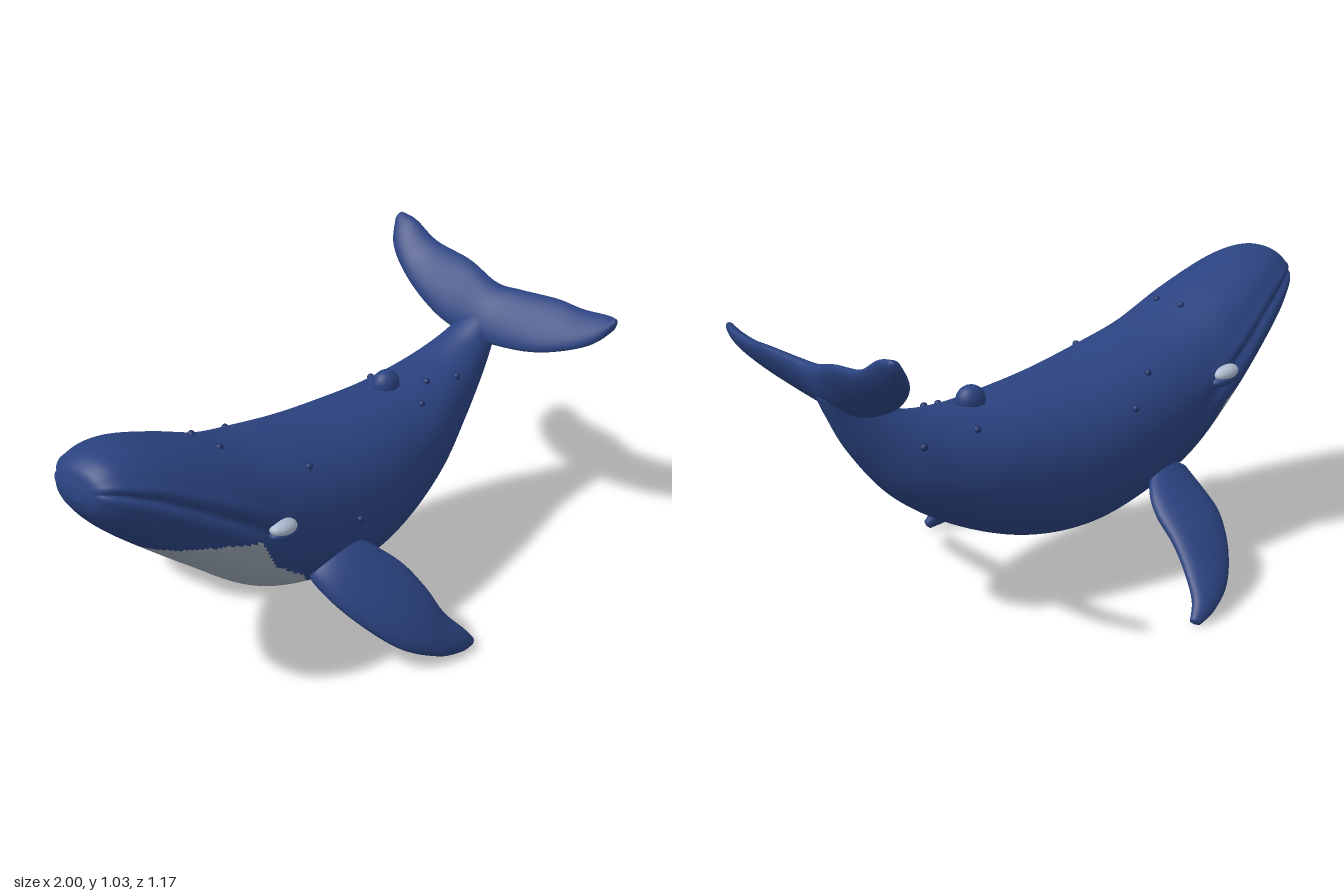
import * as THREE from 'three';
import { mergeVertices } from 'three/addons/utils/BufferGeometryUtils.js';

const material = (name, color) => Object.assign(new THREE.MeshStandardMaterial({ color }), { name });
const V = (x, y, z) => new THREE.Vector3(x, y, z);
const curve = (points) => new THREE.CatmullRomCurve3(points, false, 'catmullrom', 0.5);
const { smoothstep } = THREE.MathUtils;

// Closed skin through rings of points; isPale picks the second material per quad
function skin(rings, around, pointAt, isPale = () => false) {
  const pos = [], main = [], pale = [];
  for (let i = 0; i <= rings; i++)
    for (let j = 0; j < around; j++) pos.push(...pointAt(i / rings, (j / around) * Math.PI * 2).toArray());
  for (let i = 0; i < rings; i++)
    for (let j = 0; j < around; j++) {
      const k = (j + 1) % around;
      const a = i * around + j, b = i * around + k, c = a + around, d = b + around;
      const list = isPale((i + 0.5) / rings, ((j + 0.5) / around) * Math.PI * 2) ? pale : main;
      list.push(a, b, c, b, d, c);
    }
  let geo = new THREE.BufferGeometry();
  geo.setAttribute('position', new THREE.Float32BufferAttribute(pos, 3));
  geo.setIndex([...main, ...pale]);
  geo = mergeVertices(geo, 1e-5);
  geo.addGroup(0, main.length, 0);
  if (pale.length) geo.addGroup(main.length, pale.length, 1);
  geo.computeVertexNormals();
  return geo;
}

// Fin: rows of leading edge xyz, trailing edge xyz, thickness
function fin(rows, isPale) {
  const lead = curve(rows.map((r) => V(r[0], r[1], r[2])));
  const trail = curve(rows.map((r) => V(r[3], r[4], r[5])));
  const thick = curve(rows.map((r) => V(r[6], 0, 0)));
  const mid = (t) => lead.getPoint(t).lerp(trail.getPoint(t), 0.5);
  return skin(64, 40, (t, a) => {
    const chord = trail.getPoint(t).sub(lead.getPoint(t));
    const span = mid(Math.min(1, t + 0.02)).sub(mid(Math.max(0, t - 0.02)));
    const normal = span.cross(chord).normalize();
    const end = t === 0 || t === 1 ? 0 : 1;
    return mid(t).addScaledVector(chord, 0.5 * end * Math.cos(a))
      .addScaledVector(normal, 0.5 * end * thick.getPoint(t).x * Math.sin(a));
  }, isPale);
}

// Body sections: back x, back y, belly x, belly y, half width
const SECTIONS = [
  [-0.99, 0.89, -0.995, 0.85, 0.035],
  [-0.965, 0.94, -0.975, 0.8, 0.1],
  [-0.9, 0.968, -0.91, 0.72, 0.15],
  [-0.78, 0.953, -0.8, 0.62, 0.195],
  [-0.6, 0.885, -0.6, 0.455, 0.245],
  [-0.4, 0.8, -0.4, 0.3, 0.27],
  [-0.2, 0.75, -0.2, 0.22, 0.282],
  [0, 0.71, 0.02, 0.18, 0.282],
  [0.2, 0.69, 0.24, 0.205, 0.254],
  [0.4, 0.68, 0.47, 0.3, 0.21],
  [0.58, 0.7, 0.66, 0.43, 0.15],
  [0.7, 0.745, 0.79, 0.59, 0.098],
  [0.79, 0.8, 0.86, 0.72, 0.07],
  [0.86, 0.85, 0.895, 0.8, 0.055],
];
const axisZ = (x) => 0.027 - 0.2 * x + 0.05 * smoothstep(x, 0.6, 0.88);
const back = curve(SECTIONS.map((s) => V(s[0], s[1], axisZ(s[0]))));
const belly = curve(SECTIONS.map((s) => V(s[2], s[3], axisZ(s[2]))));
const halfWidth = curve(SECTIONS.map((s) => V(s[4], 0, 0)));
const SIDE = V(0.196, 0, 0.98);
const bump = (v, centre, size) => Math.exp(-(((v - centre) / size) ** 2));

function bodyPoint(t, a) {
  const top = back.getPoint(t), bottom = belly.getPoint(t);
  const centre = top.clone().lerp(bottom, 0.5);
  if (t === 0 || t === 1) return centre;
  const up = top.sub(bottom).multiplyScalar(0.5);
  const round = (v) => Math.sign(v) * Math.abs(v) ** 0.92;
  // Mouth groove with a lip above and below, fading out behind the head
  const fromTop = a > Math.PI ? 2 * Math.PI - a : a;
  const fade = smoothstep(t, 0.02, 0.1) * (1 - smoothstep(t, 0.3, 0.42));
  const mouth = 1.27 + 0.7 * t;
  const r = 1 + fade * (0.045 * bump(fromTop, mouth - 0.2, 0.13) - 0.08 * bump(fromTop, mouth, 0.07)
    + 0.045 * bump(fromTop, mouth + 0.2, 0.13));
  return centre.addScaledVector(up, r * round(Math.cos(a)))
    .addScaledVector(SIDE, r * halfWidth.getPoint(t).x * round(Math.sin(a)));
}

// Height of the pale throat's upper edge along the body, a little lower on the right side
const THROAT = [[-0.82, 0.6], [-0.79, 0.635], [-0.66, 0.62], [-0.52, 0.595], [-0.44, 0.46],
  [-0.31, 0.365], [-0.22, 0.265], [-0.1, 0.235], [0.13, 0.17]];
function onThroat(t, a) {
  const p = bodyPoint(t, a);
  const x = back.getPoint(t).lerp(belly.getPoint(t), 0.5).x;
  const drop = Math.sin(a) < -0.3 ? 0.05 * (1 - smoothstep(x, -0.45, -0.25)) : 0;
  for (let i = 1; i < THROAT.length; i++) {
    const [x0, y0] = THROAT[i - 1], [x1, y1] = THROAT[i];
    if (x >= x0 && x < x1)
      return Math.cos(a) < 0.05 && p.y < y0 - drop + ((y1 - y0) * (x - x0)) / (x1 - x0);
  }
  return false;
}

export function createModel() {
  const blue = material('whale blue', 0x2a427f);
  const pale = material('pale throat', 0x949fab);
  const white = material('eye white', 0xacbace);
  const dark = material('dark spot', 0x22356a);
  const group = new THREE.Group();
  const add = (name, geo, mat, parent = group) => {
    const mesh = new THREE.Mesh(geo, mat);
    mesh.name = name;
    parent.add(mesh);
    return mesh;
  };

  add('body', skin(220, 128, bodyPoint, onThroat), [blue, pale]);

  // Tail flukes, tip to tip
  add('tailFlukes', fin([
    [0.855, 1.015, -0.575, 0.87, 1.035, -0.57, 0.025],
    [0.8, 0.93, -0.52, 0.885, 1.02, -0.5, 0.045],
    [0.775, 0.84, -0.4, 0.9, 0.965, -0.4, 0.055],
    [0.77, 0.765, -0.24, 0.915, 0.94, -0.24, 0.065],
    [0.79, 0.73, -0.1, 0.915, 0.9, -0.1, 0.085],
    [0.805, 0.73, 0, 0.935, 0.9, 0, 0.07],
    [0.835, 0.745, 0.14, 0.97, 0.905, 0.14, 0.06],
    [0.875, 0.775, 0.25, 0.985, 0.9, 0.25, 0.052],
    [0.925, 0.82, 0.345, 0.995, 0.91, 0.35, 0.042],
    [0.97, 0.885, 0.405, 0.985, 0.915, 0.405, 0.025],
  ]), [blue]);

  add('leftFlipper', fin([
    [-0.2, 0.36, 0.22, -0.07, 0.42, 0.2, 0.08],
    [-0.22, 0.315, 0.32, -0.02, 0.395, 0.29, 0.105],
    [-0.16, 0.22, 0.43, 0.075, 0.315, 0.375, 0.105],
    [-0.04, 0.105, 0.525, 0.13, 0.23, 0.44, 0.095],
    [0.09, 0.04, 0.565, 0.17, 0.14, 0.485, 0.075],
    [0.19, 0.013, 0.565, 0.225, 0.075, 0.52, 0.055],
    [0.25, 0.006, 0.55, 0.264, 0.025, 0.535, 0.03],
  ]), [blue]);

  // The right flipper is pale on its underside, along the root of the leading edge
  add('rightFlipper', fin([
    [-0.39, 0.33, -0.12, -0.25, 0.39, -0.14, 0.065],
    [-0.41, 0.27, -0.21, -0.19, 0.325, -0.22, 0.085],
    [-0.405, 0.225, -0.31, -0.17, 0.27, -0.29, 0.085],
    [-0.37, 0.15, -0.41, -0.175, 0.205, -0.38, 0.075],
    [-0.3, 0.075, -0.505, -0.17, 0.13, -0.46, 0.06],
    [-0.21, 0.03, -0.565, -0.15, 0.07, -0.53, 0.048],
    [-0.14, 0.005, -0.585, -0.115, 0.015, -0.57, 0.025],
  ], (t, a) => t < 0.52 && a > Math.PI * 0.62 && a < Math.PI * 1.03), [blue, pale]);

  const ball = new THREE.SphereGeometry(1, 24, 16);

  // Eyes resting on lower lids, bulging from each side of the head
  for (const [side, name, t, angle] of [[1, 'leftEye', 0.372, 1.43], [-1, 'rightEye', 0.35, 2 * Math.PI - 1.4]]) {
    const eye = new THREE.Group();
    eye.name = name;
    eye.position.copy(bodyPoint(t, angle));
    eye.rotation.set(0, 0.197, -0.12);
    group.add(eye);
    add('eyeball', ball, white, eye).scale.set(0.052, 0.026, 0.034);
    const lid = add('eyelid', ball, blue, eye);
    lid.scale.set(0.06, 0.022, 0.034);
    lid.position.set(0.008, -0.02, -side * 0.002);
  }

  // Small dorsal knob
  const knob = add('dorsalFin', ball, blue);
  knob.scale.set(0.05, 0.05, 0.042);
  knob.position.set(0.375, 0.687, -0.053);

  // Spots, each moved to the nearest point of the skin
  const spots = [[-0.25, 0.73, -0.135], [0.42, 0.63, -0.18], [0.61, 0.62, -0.2], [0.51, 0.67, 0],
    [0.42, 0.63, 0.07], [0.64, 0.635, -0.02], [-0.5, 0.83, 0.085], [-0.19, 0.69, 0.26],
    [-0.15, 0.62, -0.23], [-0.475, 0.81, 0.18], [-0.05, 0.49, 0.31]];
  for (const [x, y, z] of spots) {
    const target = V(x, y, z);
    let best = null, least = Infinity;
    for (let i = 1; i < 100; i++)
      for (let j = 0; j < 80; j++) {
        const p = bodyPoint(i / 100, (j / 80) * Math.PI * 2);
        const d = p.distanceTo(target);
        if (d < least) [best, least] = [p, d];
      }
    const spot = add('spot', ball, dark);
    spot.scale.setScalar(0.012);
    spot.position.copy(best);
  }
  return group;
}
